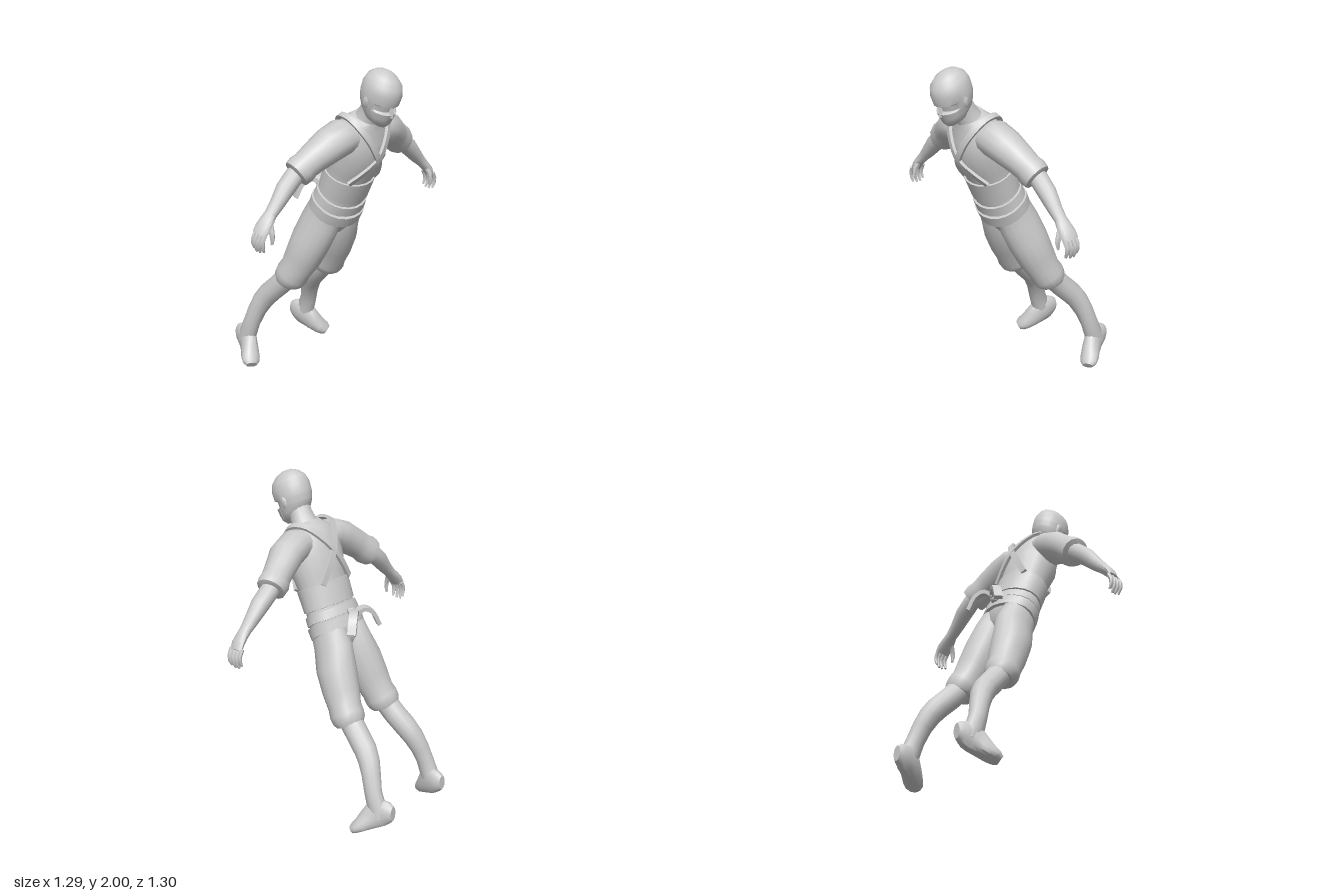
import * as THREE from 'three';
import { toCreasedNormals } from 'three/addons/utils/BufferGeometryUtils.js';

const V = (x, y, z) => new THREE.Vector3(x, y, z);
const UP = V(0, 1, 0), FRONT = V(0, 0, 1);

// closed skin over a series of rings, capped at both ends
function skin(rings, crease = 0.7) {
  const pos = [];
  const tri = (...p) => p.forEach((v) => pos.push(v.x, v.y, v.z));
  const n = rings[0].length;
  const middle = (r) => r.reduce((s, v) => s.add(v), V(0, 0, 0)).divideScalar(n);
  const last = rings[rings.length - 1], c0 = middle(rings[0]), c1 = middle(last);
  for (let j = 0; j < n; j++) {
    const k = (j + 1) % n;
    for (let i = 0; i < rings.length - 1; i++) {
      const a = rings[i], b = rings[i + 1];
      tri(a[j], a[k], b[k]);
      tri(a[j], b[k], b[j]);
    }
    tri(c0, rings[0][k], rings[0][j]);
    tri(c1, last[j], last[k]);
  }
  const g = new THREE.BufferGeometry();
  g.setAttribute('position', new THREE.Float32BufferAttribute(pos, 3));
  return toCreasedNormals(g, crease);
}

// elliptical sections [x, y, z, radiusSide, radiusRef], set square to their path
function loft(rows, { sides = 14, side = 1, ref = FRONT, level = false, arc = 0, warp, crease } = {}) {
  const c = rows.map((r) => V(r[0] * side, r[1], r[2]));
  const rings = rows.map((r, i) => {
    const t = level ? UP.clone()
      : c[Math.min(i + 1, c.length - 1)].clone().sub(c[Math.max(i - 1, 0)]).normalize();
    const A = t.clone().cross(ref).normalize(), B = A.clone().cross(t);
    return Array.from({ length: sides }, (_, j) => {
      const th = arc ? -arc + (2 * arc * j) / (sides - 1) : (2 * Math.PI * j) / sides;
      const p = c[i].clone().addScaledVector(A, r[3] * Math.sin(th))
        .addScaledVector(B, (r[4] ?? r[3]) * Math.cos(th));
      if (warp) warp(p);
      return p;
    });
  });
  return skin(rings, crease);
}

// flat strip along a curve, facing away from a centre point
function ribbon(points, centre, width, thick, steps = 28) {
  const curve = new THREE.CatmullRomCurve3(points);
  const rings = [];
  for (let i = 0; i <= steps; i++) {
    const p = curve.getPoint(i / steps), t = curve.getTangent(i / steps);
    const n = p.clone().sub(centre);
    n.addScaledVector(t, -n.dot(t)).normalize();
    const s = t.clone().cross(n);
    rings.push([[1, -1], [1, 1], [-1, 1], [-1, -1]].map(([a, b]) =>
      p.clone().addScaledVector(n, (a * thick) / 2).addScaledVector(s, (b * width) / 2)));
  }
  return skin(rings, 0.5);
}

const TORSO = [
  [1.06, 0.07, 0.07, 0.035], [1.12, 0.15, 0.11, 0.02], [1.22, 0.178, 0.135, 0.015],
  [1.32, 0.167, 0.127, 0.02], [1.42, 0.164, 0.126, 0.018], [1.52, 0.174, 0.138, 0.013],
  [1.64, 0.19, 0.158, 0.008], [1.74, 0.185, 0.135, -0.006], [1.8, 0.155, 0.108, -0.016],
  [1.85, 0.09, 0.08, -0.006],
];
function torsoRow(y, grow) {
  const i = Math.max(1, TORSO.findIndex((r) => r[0] >= y));
  const a = TORSO[i - 1], b = TORSO[i], k = (y - a[0]) / (b[0] - a[0]);
  const m = (n) => a[n] + (b[n] - a[n]) * k;
  return [0, y, m(3), m(1) + grow, m(2) + grow];
}

export function createModel() {
  const grey = new THREE.MeshStandardMaterial({ color: 0xcccccc });
  grey.name = 'light grey';
  const body = new THREE.Group();
  body.name = 'body';
  const headGroup = new THREE.Group();
  headGroup.name = 'headGroup';
  headGroup.position.set(-0.014, -0.014, 0.003);
  body.add(headGroup);
  const add = (name, geometry, parent = body) => {
    const m = new THREE.Mesh(geometry, grey);
    m.name = name;
    parent.add(m);
  };

  // torso and neck
  add('torso', loft(TORSO.map(([y, a, b, z]) => [0, y, z, a, b]), { sides: 20, level: true, crease: 0.9 }));
  add('neck', loft([[0, 1.8, -0.01, 0.1, 0.09], [0, 1.85, 0, 0.078, 0.076],
    [-0.005, 1.91, 0.012, 0.068, 0.072], [-0.01, 1.98, 0.02, 0.07, 0.075]], { level: true }));

  // head with a recessed eye slot
  add('head', loft([[0, 1.885, 0.095, 0.03, 0.03], [0, 1.91, 0.065, 0.07, 0.075], [0, 1.95, 0.045, 0.088, 0.1],
    [0, 1.985, 0.035, 0.098, 0.115], [0, 1.993, 0.034, 0.1, 0.117], [0, 2.026, 0.028, 0.106, 0.122],
    [0, 2.036, 0.028, 0.107, 0.124], [0, 2.09, 0.025, 0.108, 0.126], [0, 2.135, 0.022, 0.094, 0.112],
    [0, 2.17, 0.018, 0.062, 0.075], [0, 2.188, 0.015, 0.025, 0.03], [0, 2.19, 0.015, 0.005, 0.005]], {
    sides: 24, level: true, crease: 0.8,
    warp: (p) => { if (p.y > 1.99 && p.y < 2.03 && p.z > 0.07) p.z -= 0.02; },
  }), headGroup);
  add('faceMask', loft([[0, 1.89, 0.1, 0.034, 0.034], [0, 1.915, 0.07, 0.073, 0.079],
    [0, 1.95, 0.048, 0.091, 0.104], [0, 1.985, 0.038, 0.099, 0.117]],
  { sides: 12, level: true, arc: 1.2 }), headGroup);
  add('nose', loft([[0, 1.97, 0.143, 0.018, 0.022], [0, 1.995, 0.134, 0.014, 0.02],
    [0, 2.03, 0.13, 0.008, 0.012]], { sides: 6, level: true }), headGroup);

  // waist wrap and belts, dipping at the front
  const band = (name, y0, y1, grow, dip) => add(name, loft(
    [torsoRow(y0, 0), torsoRow(y0 + 0.002, grow), torsoRow(y1 - 0.002, grow), torsoRow(y1, 0)],
    { sides: 20, level: true, crease: 0.6, warp: (p) => { p.y -= dip * Math.max(0, p.z) / 0.14; } }));
  band('waistWrap', 1.34, 1.48, 0.01, 0.01);
  band('upperBelt', 1.27, 1.33, 0.013, 0.03);
  band('lowerBelt', 1.195, 1.265, 0.018, 0.035);

  // belt knot at the back
  add('beltKnot', loft([[0, 1.225, -0.135, 0.02, 0.018], [0, 1.24, -0.14, 0.03, 0.024],
    [0, 1.275, -0.14, 0.03, 0.024], [0, 1.29, -0.13, 0.02, 0.018]], { sides: 8, level: true }));

  for (const s of [1, -1]) {
    const side = s > 0 ? 'left' : 'right';
    const part = (name, rows, opt = {}, parent = body) =>
      add(side + name, loft(rows, { side: s, ...opt }), parent);
    const pt = (p) => V(p[0] * s, p[1], p[2]);

    part('Ear', [[0.094, 1.98, 0.025, 0.008, 0.014], [0.1, 1.995, 0.022, 0.01, 0.018],
      [0.103, 2.025, 0.018, 0.009, 0.02], [0.1, 2.045, 0.018, 0.006, 0.012]], { sides: 8 }, headGroup);

    // crossed shoulder strap
    add(side + 'Strap', ribbon([[-0.12, 1.48, 0.122], [-0.06, 1.57, 0.156], [0, 1.66, 0.172],
      [0.065, 1.76, 0.13], [0.115, 1.825, 0.065], [0.132, 1.85, -0.025], [0.115, 1.82, -0.105],
      [0.06, 1.74, -0.146], [0, 1.65, -0.158], [-0.06, 1.56, -0.136], [-0.12, 1.47, -0.096]].map(pt),
    V(0, 1.64, 0), 0.036, 0.018));

    // loose belt end
    add(side + 'BeltEnd', ribbon([[0, 1.25, -0.155], [0.045, 1.265, -0.195], [0.09, 1.23, -0.21],
      [0.13, 1.145, -0.195]].map(pt), V(0, 1.15, -0.1), 0.05, 0.024, 10));

    // sleeve with turned cuff, arm and palm
    part('Sleeve', [[0.06, 1.735, -0.015, 0.075, 0.095], [0.16, 1.738, -0.016, 0.1, 0.112],
      [0.25, 1.702, -0.016, 0.098, 0.107], [0.34, 1.638, -0.02, 0.087, 0.092], [0.39, 1.6, -0.02, 0.085, 0.084],
      [0.42, 1.575, -0.02, 0.093, 0.09], [0.452, 1.552, -0.018, 0.087, 0.084], [0.457, 1.548, -0.018, 0.06, 0.06]]);
    part('Arm', [[0.39, 1.595, -0.02, 0.05], [0.47, 1.543, -0.015, 0.056], [0.545, 1.49, 0.01, 0.054],
      [0.615, 1.425, 0.042, 0.042], [0.663, 1.385, 0.06, 0.033, 0.037], [0.692, 1.36, 0.073, 0.03, 0.045],
      [0.724, 1.33, 0.086, 0.027, 0.051], [0.748, 1.295, 0.096, 0.019, 0.048]], { sides: 12 });

    // fingers and thumb
    for (let f = 0; f < 4; f++) {
      const o = f - 1.5, x = 0.74, y = 1.305 + o * 0.009, z = 0.094 + o * 0.024;
      const l = [0.85, 1, 1, 0.9][f];
      part('Finger' + (f + 1), [[x, y, z, 0.014], [x + 0.024 * l, y - 0.04 * l, z + 0.014, 0.0135],
        [x + 0.024 * l, y - 0.075 * l, z + 0.027, 0.012], [x + 0.008, y - 0.108 * l, z + 0.036, 0.007]], { sides: 6 });
    }
    part('Thumb', [[0.69, 1.36, 0.095, 0.019], [0.7, 1.33, 0.132, 0.017],
      [0.7, 1.295, 0.155, 0.014], [0.7, 1.26, 0.165, 0.008]], { sides: 6 });

    // gathered trousers leg
    part('TrouserLeg', [[0.085, 1.23, 0.012, 0.085, 0.115], [0.09, 1.1, 0.01, 0.098, 0.13],
      [0.12, 0.97, 0.015, 0.112, 0.128], [0.14, 0.84, 0.015, 0.107, 0.117], [0.158, 0.745, 0.01, 0.095, 0.102],
      [0.166, 0.7, 0.005, 0.1, 0.106], [0.17, 0.662, 0, 0.096, 0.1], [0.172, 0.635, 0, 0.08, 0.083]], { sides: 16 });

    // wrapped shin and foot
    part('Shin', [[0.168, 0.7, 0, 0.072], [0.182, 0.58, -0.04, 0.071], [0.2, 0.48, -0.08, 0.07],
      [0.218, 0.41, -0.096, 0.065], [0.24, 0.33, -0.098, 0.058], [0.26, 0.24, -0.09, 0.05, 0.055],
      [0.265, 0.16, -0.085, 0.048, 0.06], [0.266, 0.08, -0.08, 0.046, 0.058]], { sides: 12 });
    part('Foot', [[0.248, 0.085, -0.174, 0.026, 0.045], [0.25, 0.095, -0.15, 0.041, 0.066],
      [0.256, 0.105, -0.11, 0.047, 0.085], [0.27, 0.1, -0.06, 0.05, 0.085], [0.293, 0.08, -0.01, 0.056, 0.066],
      [0.32, 0.063, 0.035, 0.06, 0.048], [0.34, 0.055, 0.066, 0.054, 0.037], [0.35, 0.05, 0.086, 0.036, 0.025]],
    { ref: UP, warp: (p) => { p.y = Math.max(p.y, 0.027); } });
  }

  // whole figure leans forward and faces diagonally
  body.rotation.order = 'YXZ';
  body.rotation.set(THREE.MathUtils.degToRad(24), THREE.MathUtils.degToRad(47.5), 0);
  body.position.set(-0.364, 0, -0.371);
  const model = new THREE.Group();
  model.name = 'leaningFigure';
  model.add(body);
  model.updateMatrixWorld(true);
  body.position.y -= new THREE.Box3().setFromObject(model, true).min.y;
  return model;
}
